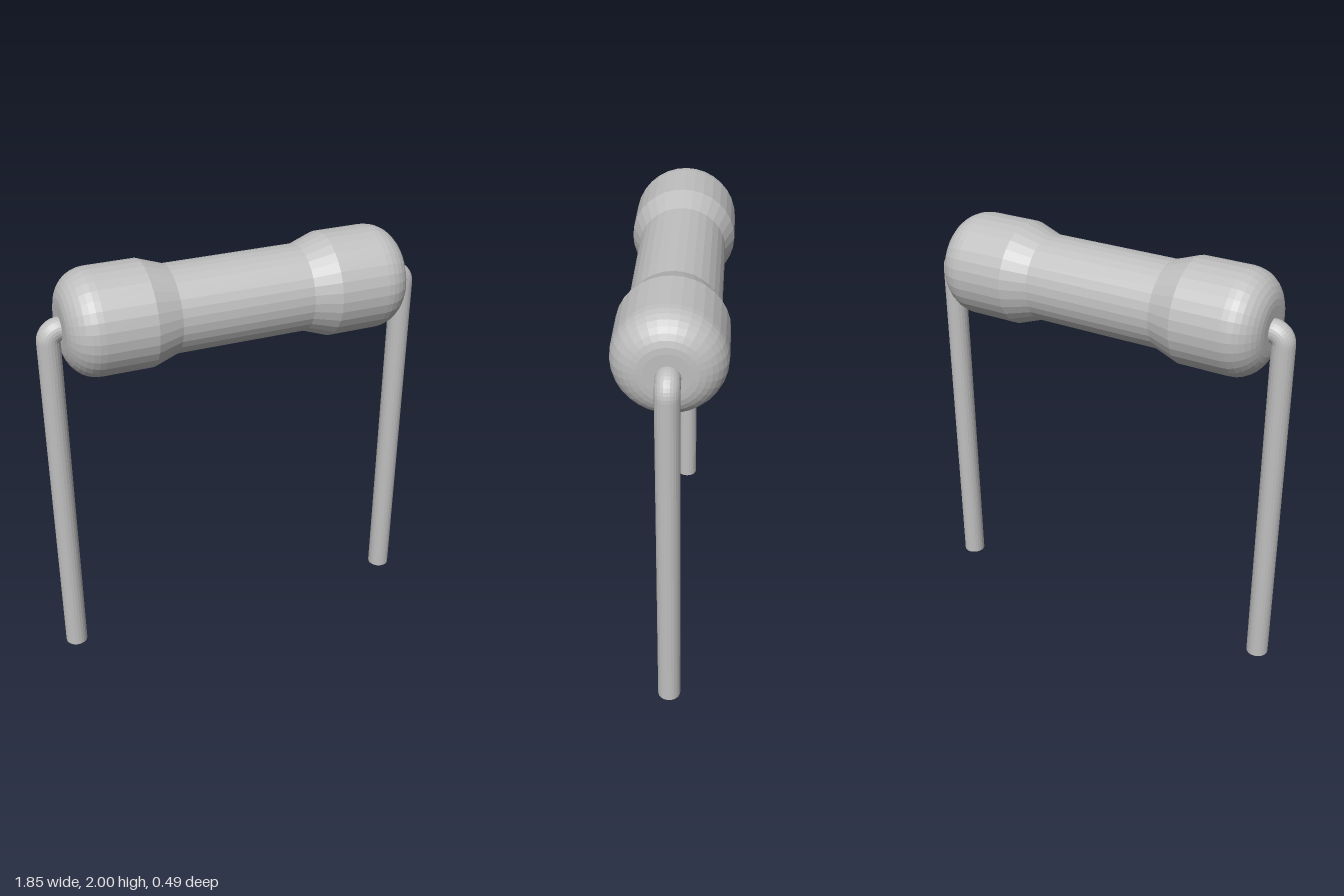
import * as THREE from 'three';

const gray = new THREE.MeshStandardMaterial({ color: 0xbfbfbf, flatShading: true });
gray.name = 'plain gray';

function add(parent, name, geometry, x, y, z, rotZ = 0) {
  const mesh = new THREE.Mesh(geometry, gray);
  mesh.name = name;
  mesh.position.set(x, y, z);
  mesh.rotation.z = rotZ;
  parent.add(mesh);
}

// Half profile of the body: flat end, rounded shoulder, taper to the waist
function bodyProfile() {
  const half = 0.815, radius = 0.245, round = 0.145, waist = 0.204;
  const end = [new THREE.Vector2(0, half)];
  for (let i = 0; i <= 8; i++) {
    const a = (i / 8) * Math.PI / 2;
    end.push(new THREE.Vector2(radius - round + Math.sin(a) * round, half - round + Math.cos(a) * round));
  }
  end.push(new THREE.Vector2(radius, 0.435), new THREE.Vector2(waist, 0.315));
  const start = end.map(p => new THREE.Vector2(p.x, -p.y));
  return [...start, ...end.reverse()];
}

export function createModel() {
  const model = new THREE.Group();
  model.name = 'axialComponent';

  add(model, 'body', new THREE.LatheGeometry(bodyProfile(), 32), -0.004, 1.755, 0, -Math.PI / 2);

  // Bent wire legs: upright, quarter bend and a stub into the body
  const r = 0.053, bend = 0.054, bendY = 1.693, z = -0.003;
  for (const side of [-1, 1]) {
    const leg = new THREE.Group();
    leg.name = side > 0 ? 'leftLeg' : 'rightLeg';
    const x = side * 0.816 - 0.002;
    add(leg, 'upright', new THREE.CylinderGeometry(r, r, bendY, 24), x + side * bend, bendY / 2, z);
    add(leg, 'bend', new THREE.TorusGeometry(bend, r, 24, 10, Math.PI / 2), x, bendY, z, side > 0 ? 0 : Math.PI / 2);
    add(leg, 'stub', new THREE.CylinderGeometry(r, r, 0.03, 24), x - side * 0.015, bendY + bend, z, Math.PI / 2);
    model.add(leg);
  }
  return model;
}
